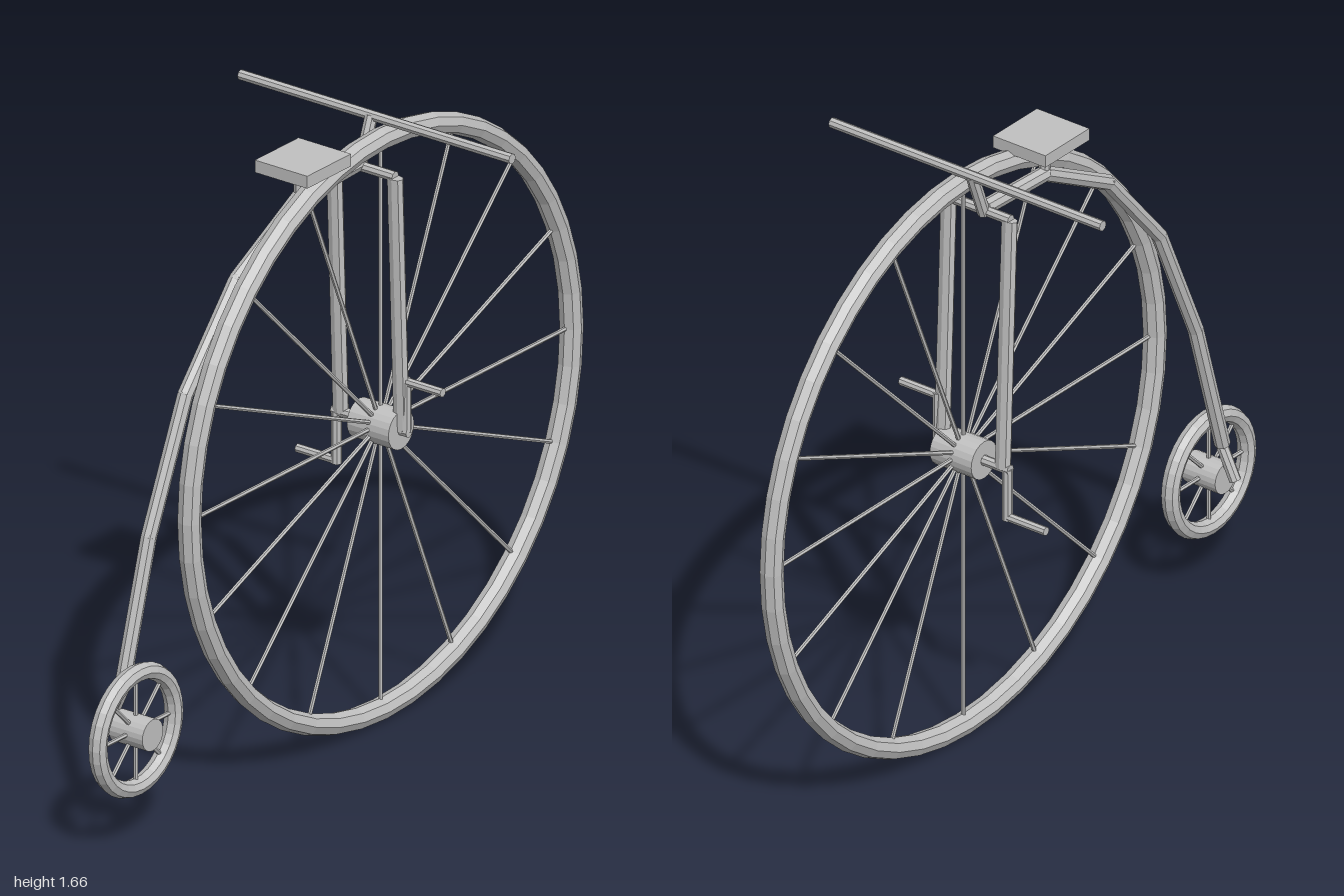
import * as THREE from 'three';

export function createModel() {
  const model = new THREE.Group();
  model.name = 'highWheelBicycle';
  const metal = new THREE.MeshStandardMaterial({ color: 0xc0c0c0 });
  metal.name = 'greyMetal';
  metal.flatShading = true;

  const add = (name, geometry, parent = model) => {
    const mesh = new THREE.Mesh(geometry, metal);
    mesh.name = name;
    parent.add(mesh);
    return mesh;
  };

  // Straight round bar between two points
  const rod = (name, from, to, radius, sides = 8, parent = model) => {
    const a = new THREE.Vector3(...from);
    const b = new THREE.Vector3(...to);
    const dir = b.clone().sub(a);
    const mesh = add(name, new THREE.CylinderGeometry(radius, radius, dir.length(), sides), parent);
    mesh.position.copy(a).add(b).multiplyScalar(0.5);
    mesh.quaternion.setFromUnitVectors(new THREE.Vector3(0, 1, 0), dir.normalize());
    return mesh;
  };

  // Wheel with rim, hub and radial spokes, turning about z
  const wheel = (name, x, y, z, radius, tube, hubRadius, hubLength, spokes, segments) => {
    const group = new THREE.Group();
    group.name = name;
    group.position.set(x, y, z);
    model.add(group);
    const rim = add('rim', new THREE.TorusGeometry(radius - tube, tube, 8, segments), group);
    rim.scale.z = 1.1;
    rod('hub', [0, 0, -hubLength / 2], [0, 0, hubLength / 2], hubRadius, 20, group);
    for (let i = 0; i < spokes; i++) {
      const t = (i / spokes) * Math.PI * 2;
      const c = Math.cos(t), s = Math.sin(t), r = radius - tube;
      rod('spoke', [0, 0, 0], [c * r, s * r, 0], 0.006, 6, group);
    }
  };
  wheel('frontWheel', 0.18, 0.82, 0.033, 0.815, 0.029, 0.053, 0.133, 16, 48);
  wheel('rearWheel', -0.825, 0.32, 0.032, 0.179, 0.023, 0.043, 0.108, 8, 32);

  // Curved backbone running beside the wheels
  const fz = -0.016;
  const spine = [[0.155, 1.535], [-0.09, 1.525], [-0.35, 1.385], [-0.56, 1.14], [-0.71, 0.8], [-0.82, 0.42]];
  for (let i = 0; i < spine.length - 1; i++) {
    rod('backbone', [...spine[i], fz], [...spine[i + 1], fz], 0.021);
    if (i) add('backboneJoint', new THREE.SphereGeometry(0.021, 8, 6)).position.set(...spine[i], fz);
  }
  rod('rearFork', [-0.82, 0.425, -0.01], [-0.825, 0.325, -0.053], 0.016);

  // Front fork: a leg on each side of the wheel, joined at the crown
  for (const z of [0.101, -0.094]) {
    rod('forkLeg', [0.18, 0.82, z], [0.153, 1.525, z], 0.024).scale.x = 0.68;
  }
  rod('forkCrown', [0.155, 1.527, -0.1], [0.155, 1.527, 0.1], 0.014);
  rod('axle', [0.18, 0.82, -0.118], [0.18, 0.82, 0.125], 0.014);

  // Steering stem and handlebar
  rod('stem', [0.158, 1.52, fz], [0.206, 1.648, fz], 0.017);
  rod('handlebar', [0.206, 1.648, -0.435], [0.206, 1.648, 0.435], 0.014);

  // Cranks and pedals, one up and one down
  for (const [z, side] of [[0.115, 1], [-0.108, -1]]) {
    const y = 0.82 + side * 0.138;
    rod('crank', [0.18, 0.82, z], [0.18, y + side * 0.008, z], 0.014);
    rod('pedal', [0.18, y, z], [0.18, y, side * 0.233], 0.012);
  }

  // Saddle on a short post
  add('saddle', new THREE.BoxGeometry(0.18, 0.034, 0.168)).position.set(-0.093, 1.622, -0.003);
  rod('saddlePost', [-0.09, 1.52, fz], [-0.09, 1.61, fz], 0.015);

  return model;
}
